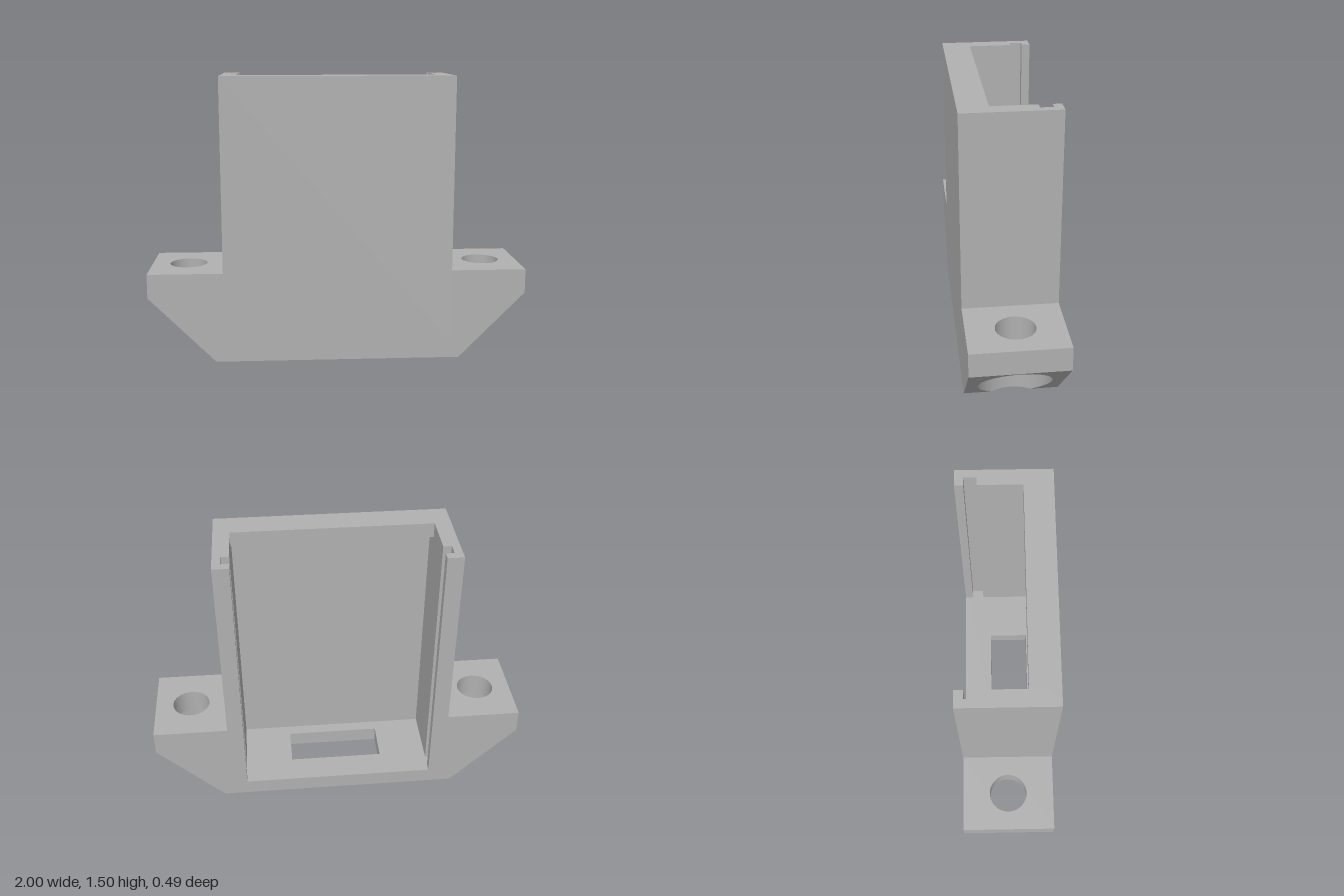
import * as THREE from 'three';
import { toCreasedNormals } from 'three/addons/utils/BufferGeometryUtils.js';

const DEPTH = 0.245;   // half depth of the housing
const HALF = 0.605;    // half width of the upper box
const TOP = 1.505;
const FLOOR = 0.085;
const EAR_TOP = 0.483;
const LEDGE = 0.355;   // top of the chamfer and of the counterbore
const FOOT = 0.65;     // half width of the base at the ground
const HOLE_X = 0.805;
const BORE = 0.185;

// Shape from plan points given as [x, z]
const plan = (pts) => new THREE.Shape(pts.map(([x, z]) => new THREE.Vector2(x, -z)));
const rect = (x0, x1, z0, z1) => plan([[x0, z1], [x1, z1], [x1, z0], [x0, z0]]);

// Extrude a plan vertically; the underside may follow a height rule
function slab(shape, y0, y1) {
  const bottom = typeof y0 === 'function' ? y0 : () => y0;
  const geo = new THREE.ExtrudeGeometry(shape, { depth: 1, bevelEnabled: false, curveSegments: 48 });
  geo.rotateX(-Math.PI / 2);
  const p = geo.attributes.position;
  for (let i = 0; i < p.count; i++) p.setY(i, p.getY(i) > 0.5 ? y1 : bottom(p.getX(i)));
  return toCreasedNormals(geo, 0.5);
}

export function createModel() {
  const grey = new THREE.MeshStandardMaterial({ color: 0xb0b0b0 });
  grey.name = 'grey plastic';
  const model = new THREE.Group();
  model.name = 'mountingHousing';
  const add = (name, geo, parent = model) => {
    const mesh = new THREE.Mesh(geo, grey);
    mesh.name = name;
    parent.add(mesh);
  };

  // Floor with the rectangular cable slot
  const floor = rect(-HALF, HALF, -DEPTH, DEPTH);
  floor.holes.push(rect(-0.257, 0.257, -0.09, 0.13));
  add('floor', slab(floor, 0, FLOOR));

  // Front wall and side walls with the slide grooves, as one U-shaped plan
  const side = [[0.52, 0.195], [0.52, -0.135], [0.563, -0.135], [0.563, -0.2],
    [0.52, -0.2], [0.52, -DEPTH], [HALF, -DEPTH], [HALF, DEPTH]];
  const mirrored = side.map(([x, z]) => [-x, z]).reverse();
  add('walls', slab(plan([...side, ...mirrored]), FLOOR, TOP));

  // Inner lip along the top of the front wall
  add('topLip', slab(rect(-0.52, 0.52, 0.095, 0.195), TOP - 0.08, TOP));

  // Mounting ear: drilled plate above a chamfered, counterbored block
  const makeEar = (name) => {
    const ear = new THREE.Group();
    ear.name = name;
    const plate = rect(HALF, 1, -DEPTH, DEPTH);
    plate.holes.push(new THREE.Path().absarc(HOLE_X, 0, 0.1, 0, Math.PI * 2, true));
    add('earPlate', slab(plate, LEDGE, EAR_TOP), ear);

    // Points where the counterbore crosses the start of the chamfer
    const a = Math.acos((FOOT - HOLE_X) / BORE);
    const arc = (from, to, n) => Array.from({ length: n + 1 }, (_, i) => {
      const t = from + (to - from) * i / n;
      return [HOLE_X + BORE * Math.cos(t), BORE * Math.sin(t)];
    });
    add('earRoot', slab(plan([[HALF, DEPTH], [FOOT, DEPTH], ...arc(a, 2 * Math.PI - a, 14),
      [FOOT, -DEPTH], [HALF, -DEPTH]]), 0, LEDGE), ear);
    add('earChamfer', slab(plan([[FOOT, DEPTH], [1, DEPTH], [1, -DEPTH], [FOOT, -DEPTH],
      ...arc(-a, a, 48)]), (x) => Math.max(0, (x - FOOT) * LEDGE / (1 - FOOT)), LEDGE), ear);
    model.add(ear);
    return ear;
  };
  makeEar('leftEar');
  makeEar('rightEar').rotation.y = Math.PI;

  return model;
}
